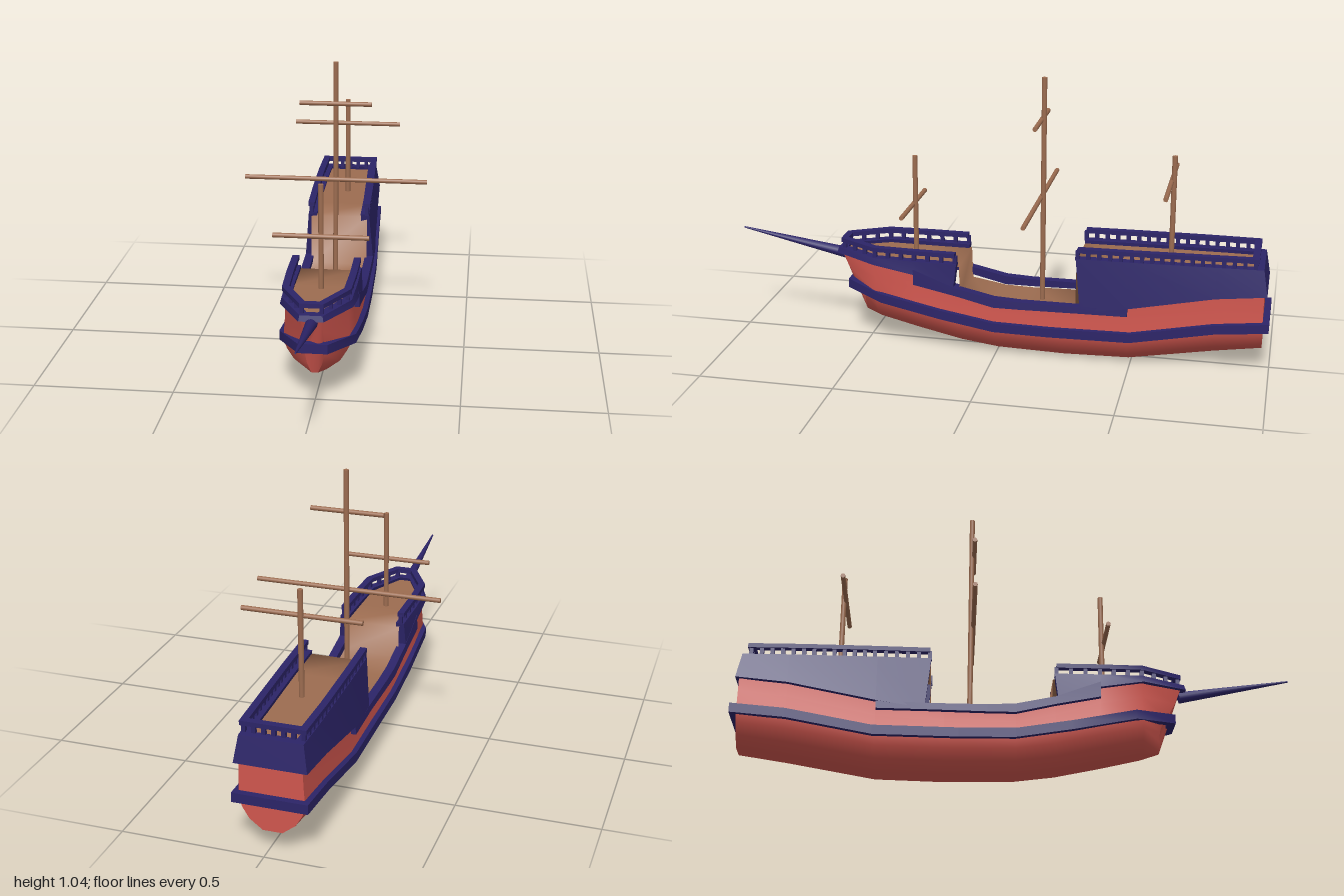
import * as THREE from 'three';
import { toCreasedNormals } from 'three/addons/utils/BufferGeometryUtils.js';

const mat = (color) => new THREE.MeshStandardMaterial({ color, roughness: 0.8 });

// linear lookup in a table of [z, value]
function at(table, z) {
  let i = 0;
  while (i < table.length - 2 && z > table[i + 1][0]) i++;
  const [z0, a] = table[i], [z1, b] = table[i + 1];
  return a + (b - a) * THREE.MathUtils.clamp((z - z0) / (z1 - z0), 0, 1);
}

// plan of the ship: half width and sideways drift along its length
const WIDTH = [[-0.97, 0.112], [-0.75, 0.118], [-0.5, 0.121], [0.3, 0.12], [0.45, 0.115], [0.6, 0.035]];
const DRIFT = [[-0.97, -0.02], [-0.75, -0.016], [-0.3, -0.002], [0, 0]];
const plan = (z, side) => [at(DRIFT, z) + side * at(WIDTH, z), z];

// skin over equal-length sections; optional flat end caps
function loft(sections, { ring = false, caps = false, closed = false } = {}) {
  const n = sections[0].length, m = sections.length, pos = sections.flat(2), idx = [];
  for (let i = 0; i < (closed ? m : m - 1); i++) {
    for (let j = 0; j < (ring ? n : n - 1); j++) {
      const i1 = (i + 1) % m, j1 = (j + 1) % n;
      const a = i * n + j, b = i1 * n + j, c = i * n + j1, d = i1 * n + j1;
      idx.push(a, b, c, b, d, c);
    }
  }
  if (caps) {
    const s = m * n, e = s + n;
    pos.push(...sections[0].flat(), ...sections[m - 1].flat());
    for (let j = 1; j < n - 1; j++) idx.push(s, s + j, s + j + 1, e, e + j + 1, e + j);
  }
  const g = new THREE.BufferGeometry();
  g.setAttribute('position', new THREE.Float32BufferAttribute(pos, 3));
  g.setIndex(idx);
  g.computeVertexNormals();
  return g;
}

// timber band along path points [x, z, yBottom, yTop, topShiftZ]
function band(path, { out, inn, lean = 0, closed = false }) {
  const n = path.length;
  const dir = (i, k) => {
    const a = path[(i + n) % n], b = path[(k + n) % n];
    return new THREE.Vector2(b[1] - a[1], a[0] - b[0]).normalize();
  };
  const rings = path.map(([x, z, yb, yt, dz = 0], i) => {
    const before = i > 0 || closed ? dir(i - 1, i) : dir(i, i + 1);
    const after = i < n - 1 || closed ? dir(i, i + 1) : before;
    const nm = before.clone().add(after).normalize();
    nm.multiplyScalar(1 / nm.dot(before));
    const p = (o, y, s) => [x + nm.x * o, y, z + nm.y * o + s];
    return [p(out - lean, yt, dz), p(out, yb, 0), p(-inn, yb, 0), p(-inn - lean, yt, dz)];
  });
  return toCreasedNormals(loft(rings, { ring: true, caps: !closed, closed }), 0.6);
}

export function createModel() {
  const ship = new THREE.Group();
  ship.name = 'sailingShip';
  const red = mat(0xd0564e), blue = mat(0x2c2468), wood = mat(0x9c6c50);
  const add = (name, geo, material, parent = ship) => {
    const m = new THREE.Mesh(geo, material);
    m.name = name;
    parent.add(m);
    return m;
  };

  // hull: [z, keel y, wale y, top y]
  const stations = [
    [-0.97, 0.085, 0.2, 0.34], [-0.8, 0.06, 0.183, 0.32], [-0.49, 0.008, 0.127, 0.25], [-0.25, 0.004, 0.124, 0.225],
    [0, 0.01, 0.127, 0.225], [0.14, 0.028, 0.148, 0.26], [0.3, 0.062, 0.185, 0.32],
    [0.45, 0.097, 0.213, 0.35], [0.515, 0.112, 0.223, 0.355]];
  add('hull', loft(stations.map(([z, yb, yw, yt], i) => {
    const bow = i === stations.length - 1;
    const w = bow ? 0.037 : at(WIDTH, z), h = yw - yb;
    const half = [[0.3, yb, 0], [0.7, yb + h * 0.3, 0], [0.9, yb + h * 0.62, 0.002], [1, yw - 0.015, 0.012],
      [1, yw + 0.01, 0.03], [0.96, (yw + yt) / 2, 0.06], [0.96, yt, 0.087]];
    const pts = (s) => half.map(([f, y, r]) => [at(DRIFT, z) + s * f * w, y, z + (bow ? r : 0)]);
    return [...pts(1).reverse(), ...pts(-1)];
  }), { caps: true }), red);

  // wale around the whole hull
  const WALE = [[-0.975, 0.2], [-0.8, 0.183], [-0.5, 0.128], [-0.2, 0.126], [0, 0.129], [0.2, 0.162], [0.42, 0.207], [0.555, 0.225]];
  const waleSide = (s) => WALE.map(([z, y]) => [z > 0.5 ? s * 0.04 : plan(z, s)[0], z, y - 0.017, y + 0.017]);
  add('wale', band([...waleSide(1), ...waleSide(-1).reverse()], { out: 0.018, inn: 0.012, closed: true }), blue);

  // bulwarks: waist on both sides, raised fore and aft castles
  const row = (s, list) => list.map(([z, ...r]) => [...plan(z, s), ...r]);
  const waist = [[-0.49, 0.21, 0.238], [-0.3, 0.21, 0.235], [-0.1, 0.207, 0.235], [0, 0.207, 0.24], [0.14, 0.24, 0.27], [0.3, 0.272, 0.33]];
  for (const s of [1, -1]) {
    const path = row(s, waist);
    add(s > 0 ? 'leftWaistBulwark' : 'rightWaistBulwark',
      band(s > 0 ? path : path.reverse(), { out: 0.014, inn: 0.018, lean: 0.002 }), blue);
  }
  const fore = [[0.14, 0.255, 0.36, 0], [0.3, 0.31, 0.36], [0.45, 0.335, 0.36], [0.605, 0.342, 0.362]];
  fore[0][0] = 0.15;
  fore[0][3] = -0.012;
  add('foreBulwark', band([...row(1, fore), ...row(-1, fore).reverse()], { out: 0.012, inn: 0.02, lean: 0.006 }), blue);
  const aft = [[-0.32, 0.215, 0.413, 0.02], [-0.49, 0.24, 0.413], [-0.8, 0.3, 0.413], [-0.968, 0.318, 0.413]];
  add('aftBulwark', band([...row(-1, aft), ...row(1, aft).reverse()], { out: 0.013, inn: 0.02, lean: 0.016 }), blue);

  // railings: handrail on evenly spaced posts
  function railing(name, path, y0, y1, top, gap) {
    const g = new THREE.Group();
    g.name = name;
    ship.add(g);
    add('handrail', band(path.map(([x, z]) => [x, z, y1, top]), { out: 0.012, inn: 0.013 }), blue, g);
    const post = new THREE.BoxGeometry(0.014, y1 - y0 + 0.01, 0.014);
    for (let i = 0; i < path.length - 1; i++) {
      const [x0, z0] = path[i], [x1, z1] = path[i + 1];
      const n = Math.max(1, Math.round(Math.hypot(x1 - x0, z1 - z0) / gap));
      for (let k = 0; k <= n; k++) {
        if (k === n && i < path.length - 2) continue;
        const t = k / n;
        add('post', post, blue, g).position.set(x0 + (x1 - x0) * t, (y0 + y1) / 2, z0 + (z1 - z0) * t);
      }
    }
  }
  const inset = (s, zs, d) => zs.map((z) => [plan(z, s)[0] - s * d, z]);
  const foreZ = [0.145, 0.3, 0.45, 0.588], aftZ = [-0.305, -0.5, -0.75, -0.935];
  railing('foreRailing', [...inset(1, foreZ, 0.008), ...inset(-1, foreZ, 0.008).reverse()], 0.36, 0.384, 0.4, 0.045);
  railing('aftRailing', [...inset(-1, aftZ, 0.012), ...inset(1, aftZ, 0.012).reverse()], 0.412, 0.437, 0.453, 0.036);

  // stepped deck with castle front walls
  const deck = [[-0.95, 0.4], [-0.75, 0.4], [-0.47, 0.4], [-0.302, 0.4], [-0.3, 0.205], [-0.1, 0.2], [0, 0.203],
    [0.128, 0.225], [0.132, 0.345], [0.3, 0.345], [0.45, 0.347], [0.585, 0.35]];
  const deckMesh = add('deck', loft(deck.map(([z, y]) => [-1, 1].map((s) => [plan(z, s)[0] - s * 0.012, y, z]))), wood);
  deckMesh.material = wood.clone();
  deckMesh.material.side = THREE.DoubleSide;

  // bowsprit
  const from = new THREE.Vector3(0, 0.328, 0.595), to = new THREE.Vector3(0, 0.4, 1);
  const sprit = add('bowsprit', new THREE.CylinderGeometry(0.003, 0.021, from.distanceTo(to), 12), blue);
  sprit.position.copy(from).lerp(to, 0.5);
  sprit.quaternion.setFromUnitVectors(new THREE.Vector3(0, 1, 0), to.clone().sub(from).normalize());

  // masts with yards: [name, z, foot, top, [[yard y, half length]...]]
  const masts = [
    ['foreMast', 0.32, 0.33, 0.727, [[0.54, 0.168]]],
    ['mainMast', -0.16, 0.19, 1.045, [[0.598, 0.342], [0.89, 0.134]]],
    ['mizzenMast', -0.63, 0.39, 0.785, [[0.69, 0.21]]]];
  for (const [name, z, y0, y1, yards] of masts) {
    const g = new THREE.Group();
    g.name = name;
    g.position.z = z;
    ship.add(g);
    add('mast', new THREE.CylinderGeometry(0.0095, 0.0095, y1 - y0, 12), wood, g).position.y = (y0 + y1) / 2;
    for (const [y, half] of yards) {
      const yard = add('yard', new THREE.CylinderGeometry(0.0085, 0.0085, half * 2, 10), wood, g);
      yard.rotation.z = Math.PI / 2;
      yard.position.set(0, y, 0.009);
    }
  }
  return ship;
}
